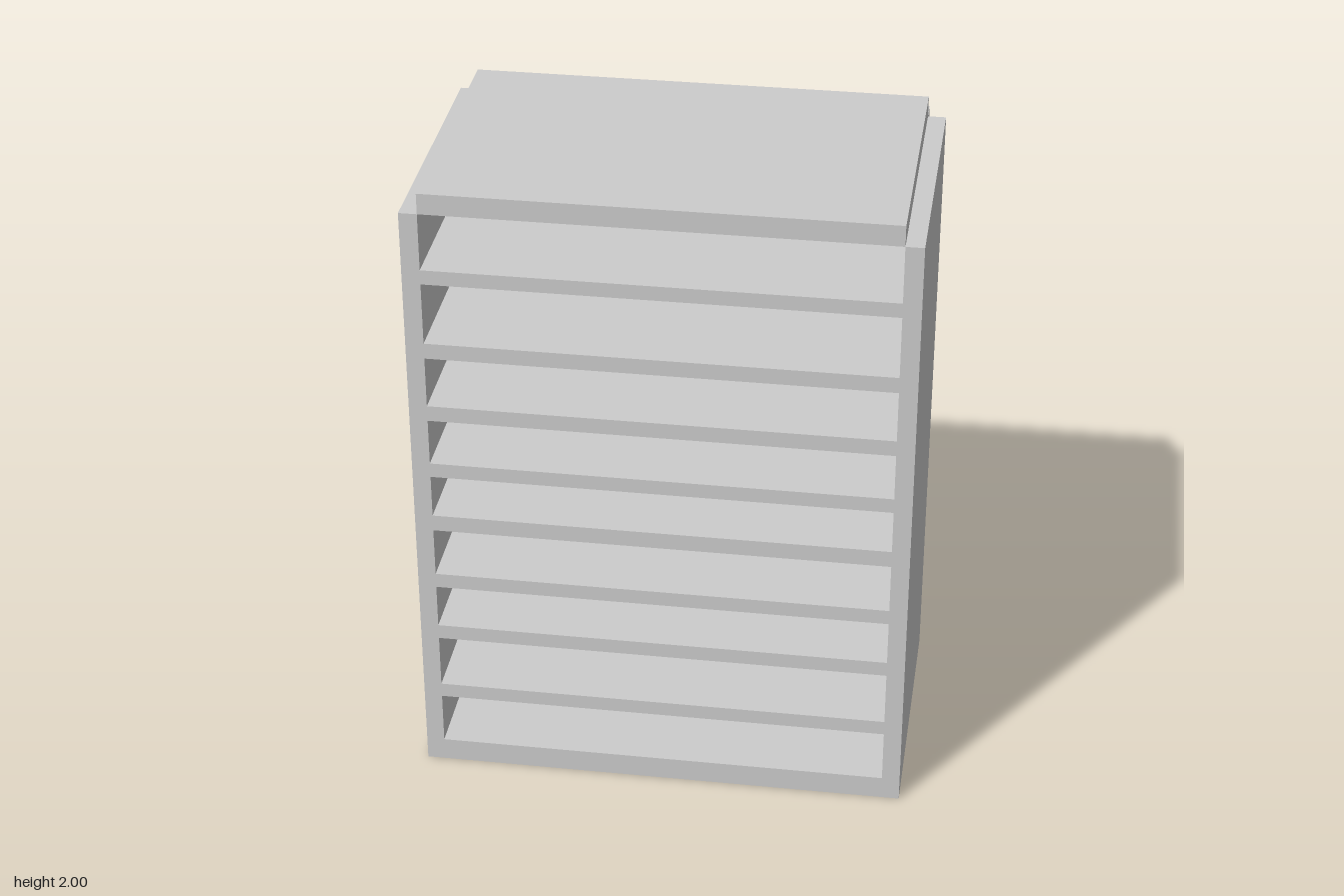
import * as THREE from 'three';

export function createModel() {
  const group = new THREE.Group();
  const material = new THREE.MeshStandardMaterial({ color: 0xcccccc });

  // Box given by its minimum and maximum corners
  function board(name, [x0, y0, z0], [x1, y1, z1]) {
    const mesh = new THREE.Mesh(new THREE.BoxGeometry(x1 - x0, y1 - y0, z1 - z0), material);
    mesh.position.set((x0 + x1) / 2, (y0 + y1) / 2, (z0 + z1) / 2);
    mesh.name = name;
    group.add(mesh);
  }

  const inner = 0.695, outer = 0.75, sideTop = 1.935;
  const front = 0.467, rear = -0.397, back = -0.47;

  // Side walls
  board('leftSide', [inner, 0, rear], [outer, sideTop, front]);
  board('rightSide', [-outer, 0, rear], [-inner, sideTop, front]);

  // Back panel, set behind the walls and narrower than them
  board('backPanel', [-inner, 0, back], [inner, sideTop, rear]);

  // Base, unevenly spaced shelves and raised top: [bottom, top]
  const levels = [
    [0, 0.074], [0.244, 0.291], [0.466, 0.514], [0.657, 0.705], [0.864, 0.917],
    [1.055, 1.102], [1.251, 1.301], [1.463, 1.513], [1.709, 1.755], [sideTop, 2],
  ];
  levels.forEach(([y0, y1], i) => {
    const name = i === 0 ? 'base' : i === levels.length - 1 ? 'topBoard' : `shelf${i}`;
    board(name, [-inner, y0, rear], [inner, y1, front]);
  });

  return group;
}
